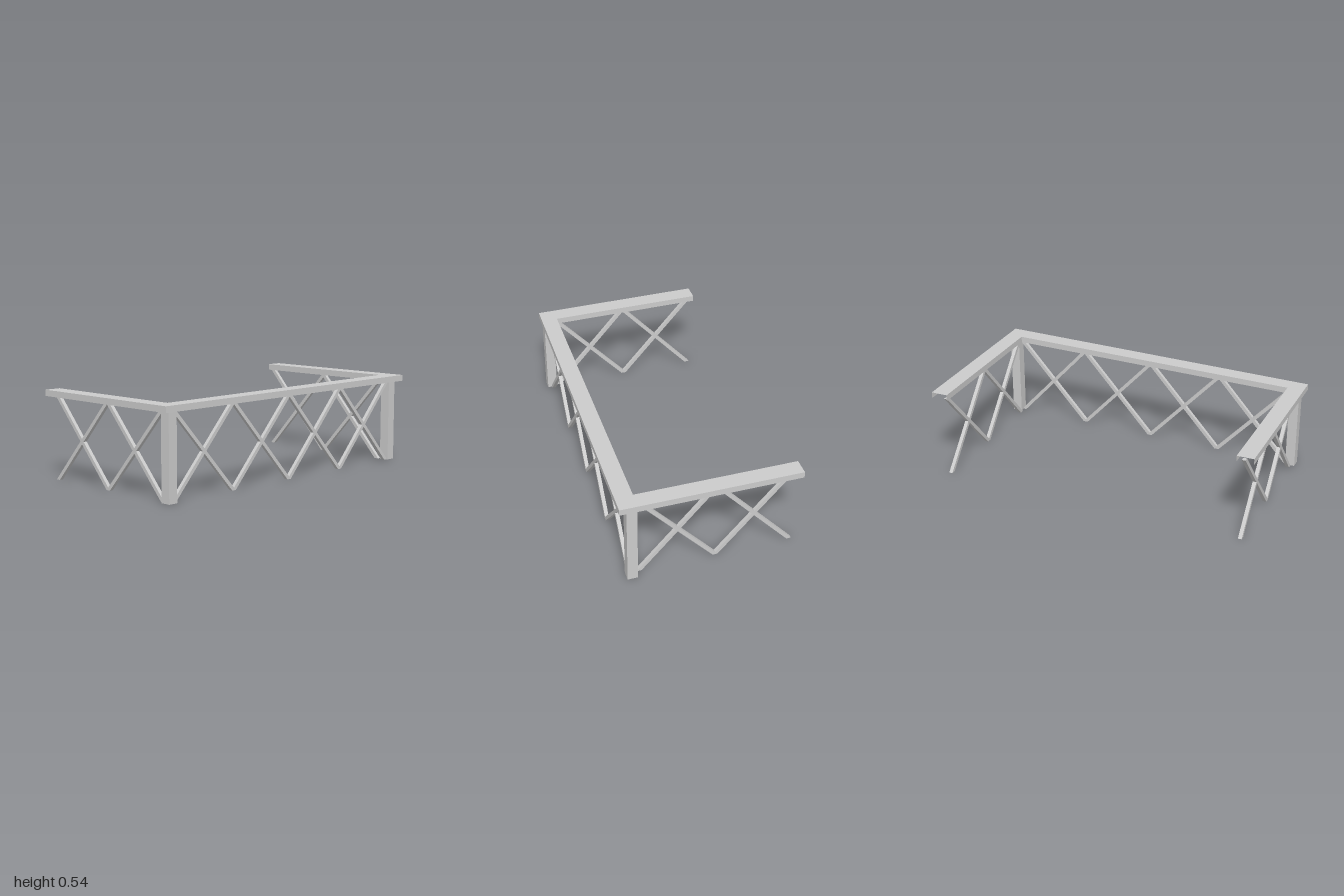
import * as THREE from 'three';

const grey = new THREE.MeshStandardMaterial({ color: 0xcccccc, flatShading: true, side: THREE.DoubleSide });

function add(parent, name, geometry) {
  const mesh = new THREE.Mesh(geometry, grey);
  mesh.name = name;
  parent.add(mesh);
  return mesh;
}

// Inverted channel swept round the mitred corners: skirt, top plate, skirt
function railGeometry() {
  // outer x, outer z, inner x, inner z, underside y, top y
  const stations = [
    [-1, -0.525, -0.9, -0.525, 0.494, 0.53],
    [-1, 0.49, -0.9, 0.395, 0.494, 0.53],
    [1, 0.525, 0.9, 0.42, 0.5, 0.537],
    [1, -0.525, 0.9, -0.525, 0.5, 0.537],
  ];
  const sections = stations.map(([ox, oz, ix, iz, low, high]) => [
    [ox, low, oz], [ox, high, oz], [ix, high, iz], [ix, low, iz],
  ]);
  const pos = [];
  for (let i = 0; i < 3; i++) {
    for (let j = 0; j < 3; j++) {
      const a = sections[i][j], b = sections[i + 1][j];
      const c = sections[i + 1][j + 1], d = sections[i][j + 1];
      pos.push(...a, ...b, ...c, ...a, ...c, ...d);
    }
  }
  const g = new THREE.BufferGeometry();
  g.setAttribute('position', new THREE.Float32BufferAttribute(pos, 3));
  g.computeVertexNormals();
  return g;
}

// Slanted bar from u0 at the floor to u1 under the rail, ends cut level
function barGeometry(u0, u1) {
  const h = 0.014, top = 0.5, depth = 0.022;
  const shape = new THREE.Shape([
    new THREE.Vector2(u0 - h, 0), new THREE.Vector2(u0 + h, 0),
    new THREE.Vector2(u1 + h, top), new THREE.Vector2(u1 - h, top),
  ]);
  const g = new THREE.ExtrudeGeometry(shape, { depth, bevelEnabled: false });
  return g.translate(0, 0, -depth / 2);
}

// Row of crossed bars between neighbouring nodes
function lattice(name, nodes) {
  const group = new THREE.Group();
  group.name = name;
  for (let i = 0; i < nodes.length - 1; i++) {
    add(group, 'risingBar', barGeometry(nodes[i], nodes[i + 1]));
    add(group, 'fallingBar', barGeometry(nodes[i + 1], nodes[i]));
  }
  return group;
}

export function createModel() {
  const model = new THREE.Group();
  model.name = 'latticeRailing';

  add(model, 'topRail', railGeometry());

  // Corner posts
  for (const [name, x, z] of [['rightPost', -0.94, 0.447], ['leftPost', 0.95, 0.45]]) {
    add(model, name, new THREE.BoxGeometry(0.058, 0.505, 0.06)).position.set(x, 0.2525, z);
  }

  // Long front lattice, slightly skewed like the rail
  const front = lattice('frontLattice', [-0.91, -0.455, 0.003, 0.46, 0.915]);
  front.position.z = 0.45;
  front.rotation.y = -0.01;
  model.add(front);

  // Side lattices; local x is turned to run along -z
  for (const [name, x] of [['rightLattice', -0.935], ['leftLattice', 0.92]]) {
    const side = lattice(name, [-0.4, 0.047, 0.493]);
    side.rotation.y = Math.PI / 2;
    side.position.x = x;
    model.add(side);
  }
  return model;
}
